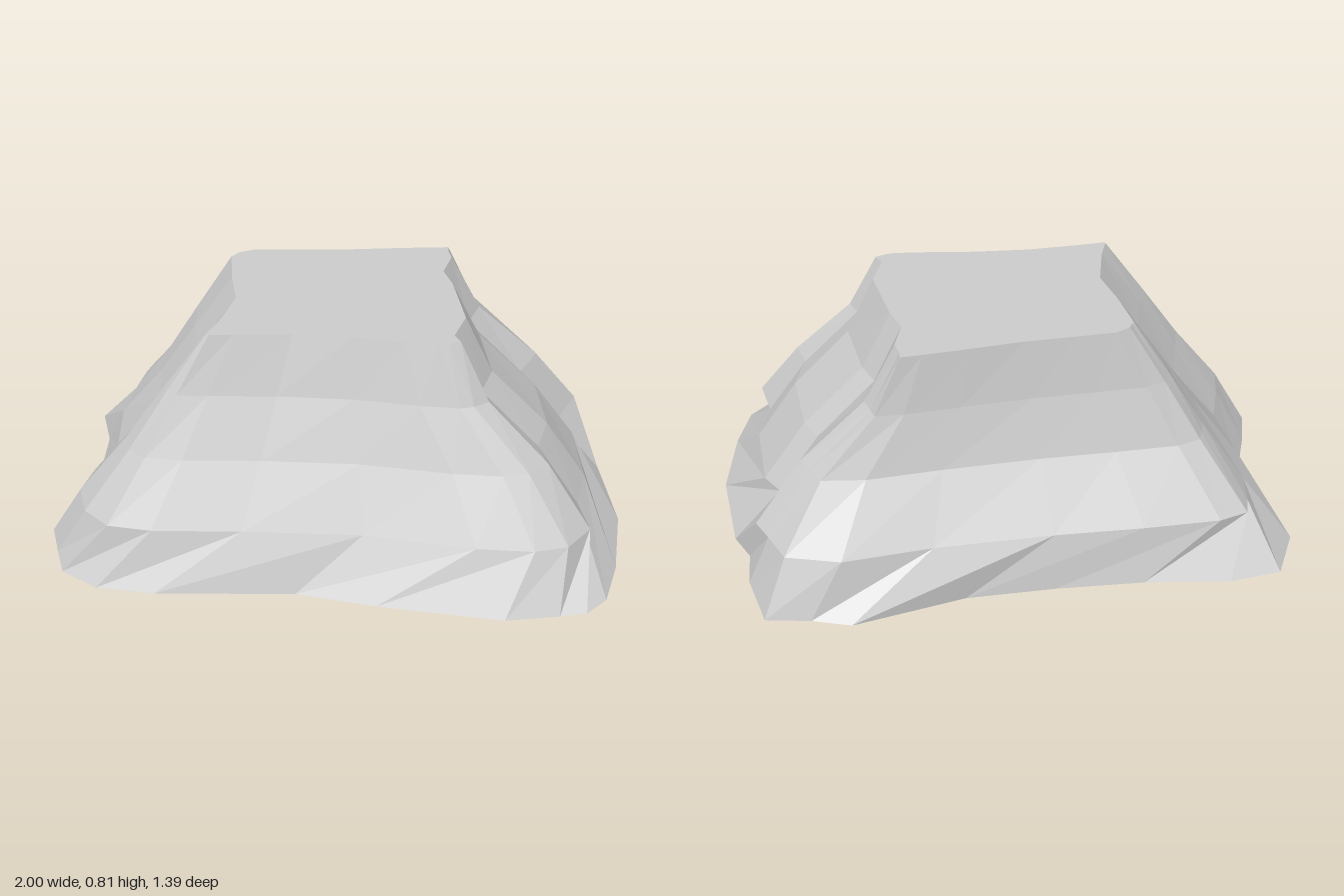
import * as THREE from 'three';

// Matching outlines as [x, z], running front, right, back, left
const base = [
  [-1, .28], [-.96, .4], [-.92, .51], [-.79, .59], [-.59, .61], [-.12, .59], [.15, .64],
  [.57, .69], [.75, .66], [.84, .64], [.91, .57], [.96, .4], [1, .12], [.96, -.2],
  [.91, -.3], [.91, -.44], [.86, -.635], [.71, -.66], [.58, -.7], [.2, -.62], [-.1, -.615],
  [-.4, -.625], [-.69, -.66], [-.87, -.635], [-.96, -.46], [-.91, -.3], [-.9, -.02], [-.96, .14],
];
const shoulder = [
  [-.88, .31], [-.84, .43], [-.75, .51], [-.6, .53], [-.3, .52], [.1, .52], [.47, .575],
  [.66, .58], [.77, .55], [.85, .45], [.82, .3], [.86, .14], [.84, -.13], [.79, -.21],
  [.87, -.38], [.83, -.46], [.78, -.57], [.6, -.62], [.3, -.59], [-.1, -.58], [-.4, -.585],
  [-.66, -.58], [-.76, -.55], [-.78, -.48], [-.8, -.36], [-.82, -.2], [-.8, .03], [-.85, .18],
];
const summit = [
  [-.42, .28], [-.42, .283], [-.41, .287], [-.33, .28], [-.14, .27], [.05, .28], [.22, .3],
  [.33, .31], [.36, .305], [.4, .29], [.38, .25], [.42, .13], [.38, -.11], [.35, -.2],
  [.38, -.31], [.37, -.36], [.37, -.39], [.3, -.385], [.15, -.37], [-.03, -.35], [-.2, -.342],
  [-.33, -.335], [-.38, -.31], [-.39, -.29], [-.4, -.28], [-.38, -.12], [-.35, .03], [-.39, .2],
];

// Ring between summit and shoulder; sides, front and back flare at their own rates
const between = (right, left, front, back) => summit.map(([x, z], i) => {
  const [sx, sz] = shoulder[i];
  return [
    x + (sx - x) * (sx > 0 ? right : left),
    z + (sz - z) * (sz > 0 ? front : back),
  ];
});

function geometryFrom(points, index) {
  const g = new THREE.BufferGeometry();
  g.setAttribute('position', new THREE.Float32BufferAttribute(points.flat(), 3));
  g.setIndex(index);
  const flat = g.toNonIndexed();
  flat.computeVertexNormals();
  return flat;
}

// Skin stretched over a stack of rings
function loft(rings) {
  const n = rings[0].length, index = [];
  for (let r = 0; r < rings.length - 1; r++) {
    for (let i = 0; i < n; i++) {
      const j = (i + 1) % n;
      const a = r * n + i, b = r * n + j, c = b + n, d = a + n;
      index.push(a, b, c, a, c, d);
    }
  }
  return geometryFrom(rings.flat(), index);
}

// Flat lid over one ring, facing up or down
function cap(ring, up) {
  const faces = THREE.ShapeUtils.triangulateShape(ring.map(([x, , z]) => new THREE.Vector2(x, -z)), []);
  return geometryFrom(ring, faces.flatMap(([a, b, c]) => (up ? [a, b, c] : [a, c, b])));
}

export function createModel() {
  const group = new THREE.Group();
  group.name = 'rockPlateau';
  const material = new THREE.MeshStandardMaterial({ color: 0xcccccc, flatShading: true });
  const add = (name, geometry) => {
    const mesh = new THREE.Mesh(geometry, material);
    mesh.name = name;
    group.add(mesh);
  };

  const rings = [
    [base, 0],
    [shoulder, 0.2],
    [between(.67, .63, .56, .38), 0.41],
    [between(.22, .32, .23, .12), 0.61],
    [summit, 0.81],
  ].map(([outline, y]) => outline.map(([x, z]) => [x, y, z]));

  add('cliffSides', loft(rings));
  add('plateauTop', cap(rings[4], true));
  add('underside', cap(rings[0], false));
  return group;
}
